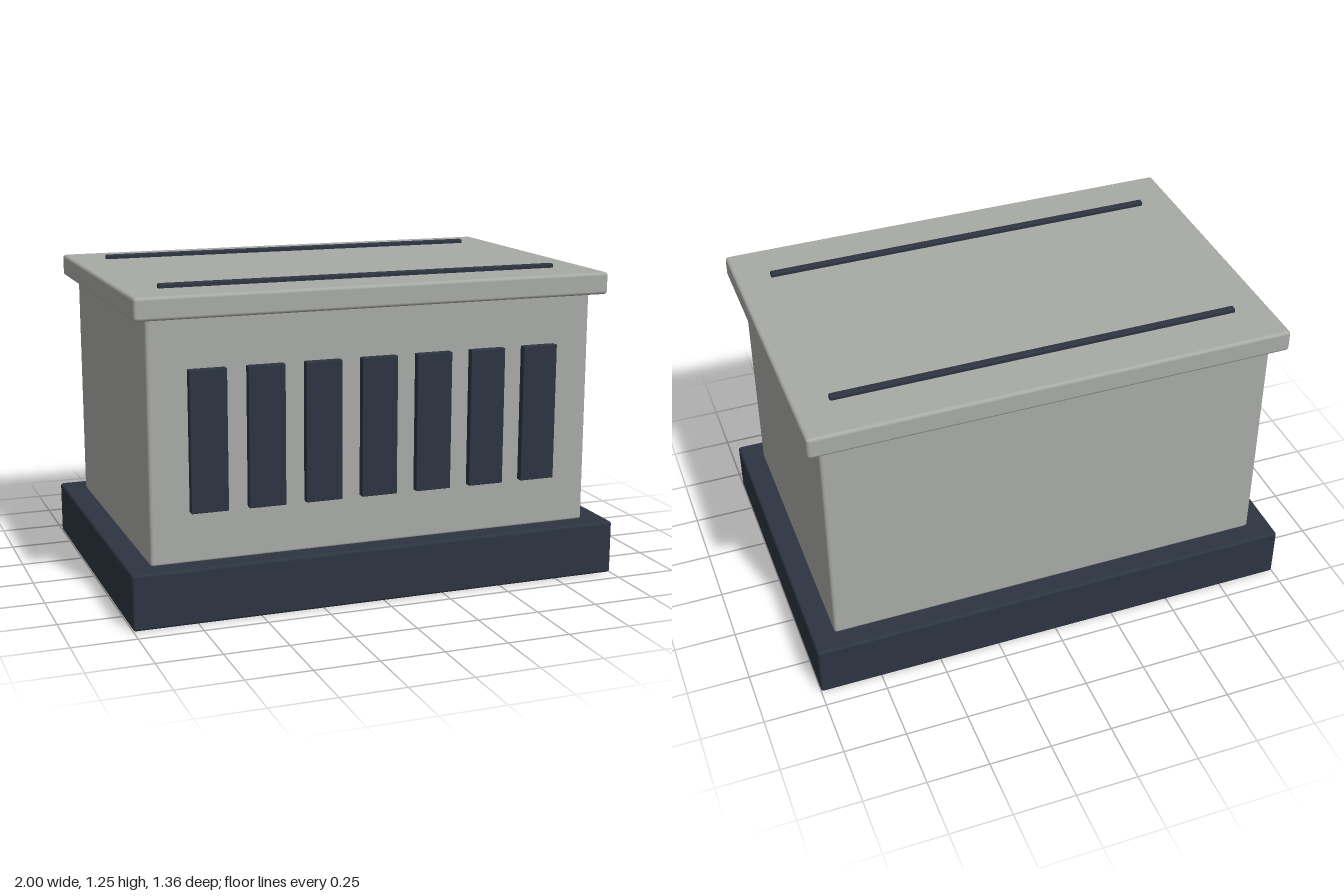
import * as THREE from 'three';
import { RoundedBoxGeometry } from 'three/addons/geometries/RoundedBoxGeometry.js';

export function createModel() {
  const model = new THREE.Group();
  model.name = 'ventedCabinet';

  const grey = new THREE.MeshStandardMaterial({ color: 0xa8aaa6 });
  grey.name = 'warmGrey';
  const navy = new THREE.MeshStandardMaterial({ color: 0x2d3541 });
  navy.name = 'darkSlate';

  // Softly rounded block spanning y0..y1, centred on x and z
  function block(name, material, w, y0, y1, d, radius, x = 0, z = 0) {
    const mesh = new THREE.Mesh(new RoundedBoxGeometry(w, y1 - y0, d, 2, radius), material);
    mesh.position.set(x, (y0 + y1) / 2, z);
    mesh.name = name;
    model.add(mesh);
  }

  // Plinth, housing and overhanging lid
  block('base', navy, 2, 0, 0.217, 1.36, 0.011);
  block('body', grey, 1.814, 0.21, 1.155, 1.18, 0.013);
  block('lid', grey, 1.92, 1.15, 1.238, 1.288, 0.013);

  // Seven upright vent slats on the front
  for (let i = -3; i <= 3; i++) {
    block(`ventSlat${i + 4}`, navy, 0.145, 0.411, 0.957, 0.06, 0.003, i * 0.227, 0.59);
  }

  // Two long rails along the lid
  for (const side of [-1, 1]) {
    block(side > 0 ? 'frontRail' : 'backRail', navy, 1.636, 1.227, 1.255, 0.028, 0.006, 0, side * 0.436);
  }

  return model;
}
